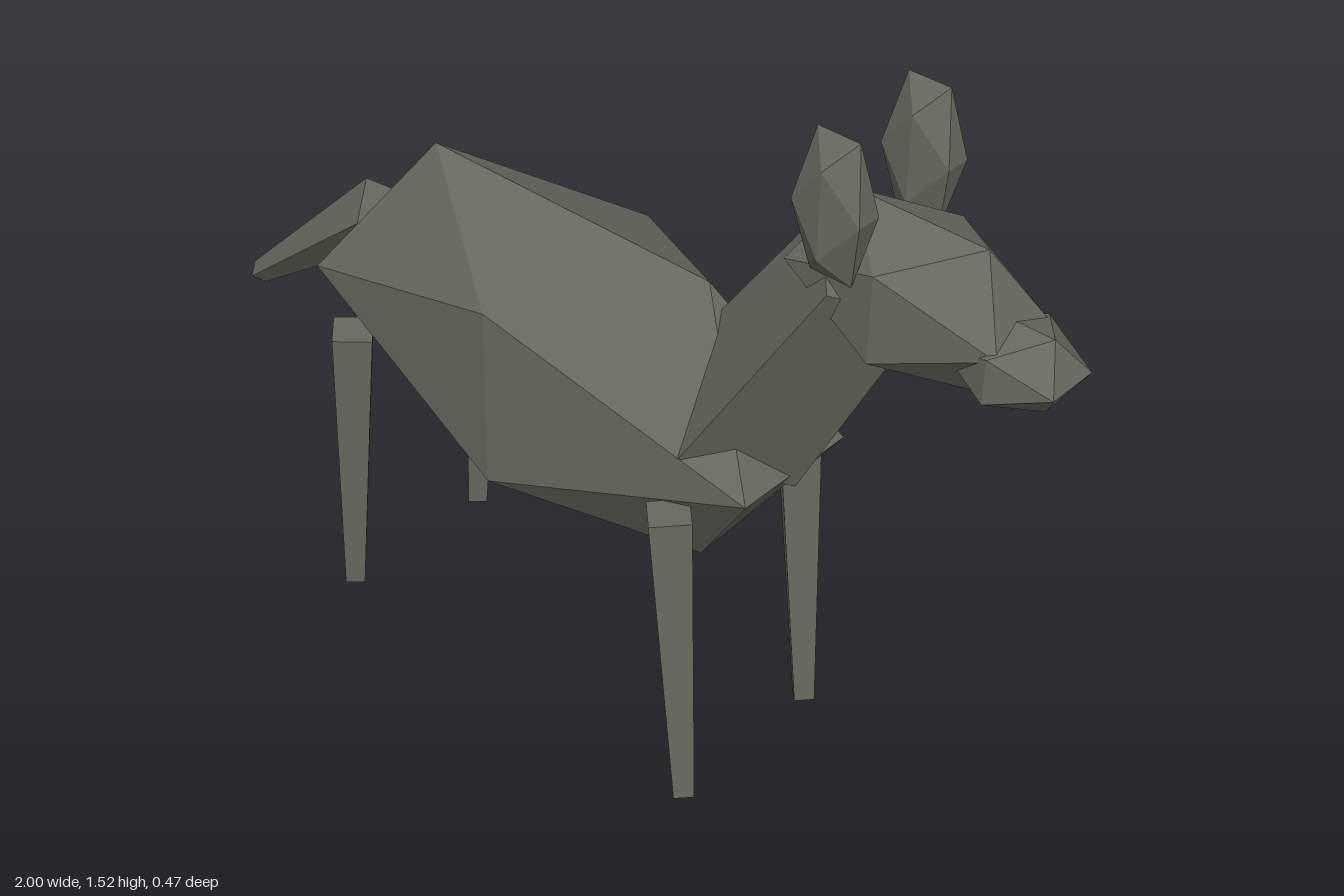
import * as THREE from 'three';

export function createModel() {
  const model = new THREE.Group();
  const coat = new THREE.MeshStandardMaterial({ color: 0x666a5e, flatShading: true });
  coat.name = 'darkOliveGrey';

  function add(name, geometry) {
    const mesh = new THREE.Mesh(geometry, coat);
    mesh.name = name;
    model.add(mesh);
    return mesh;
  }

  // Stretched twenty-sided block
  function gem(name, [x, y, z], [rx, ry, rz]) {
    const geometry = new THREE.IcosahedronGeometry(1, 0);
    geometry.scale(rx, ry, rz);
    add(name, geometry).position.set(x, y, z);
  }

  // Four-sided tapered bar leaning in the side plane, from one end to the other
  function bar(name, [x0, y0], [x1, y1], z, r0, r1) {
    const length = Math.hypot(x1 - x0, y1 - y0);
    const mesh = add(name, new THREE.CylinderGeometry(r1, r0, length, 4));
    mesh.position.set((x0 + x1) / 2, (y0 + y1) / 2, z);
    mesh.rotation.z = Math.atan2(x0 - x1, y1 - y0);
  }

  // Trunk, neck and tail
  gem('body', [-0.08, 0.72, 0], [0.648, 0.364, 0.26]);
  bar('neck', [0.335, 0.77], [0.605, 1.225], 0, 0.16, 0.122);
  bar('tail', [-0.985, 0.475], [-0.58, 0.81], 0, 0.025, 0.07);

  // Head and snout
  gem('head', [0.69, 1.215, 0], [0.25, 0.16, 0.14]);
  gem('snout', [0.89, 1.176, 0], [0.127, 0.082, 0.1]);

  // Ears and legs on both sides
  for (const side of [-1, 1]) {
    gem('ear', [0.605, 1.389, side * 0.115], [0.08, 0.156, 0.047]);
    bar('frontLeg', [0.385, 0.002], [0.335, 0.66], side * 0.181, 0.028, 0.055);
    bar('backLeg', [-0.53, 0.002], [-0.485, 0.66], side * 0.181, 0.028, 0.055);
  }
  return model;
}
